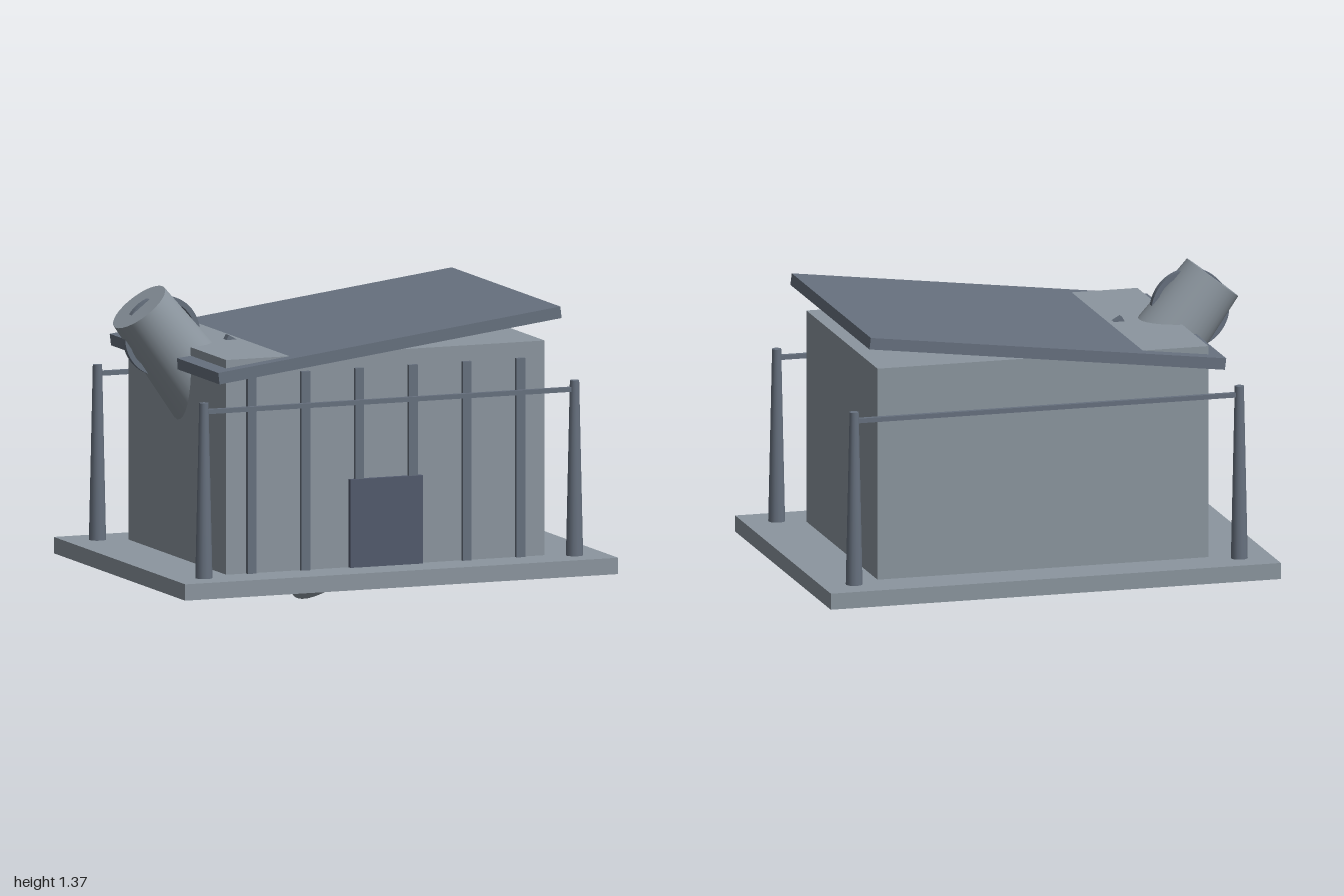
import * as THREE from 'three';

const pale = new THREE.MeshStandardMaterial({ color: 0x8c969f });
const slate = new THREE.MeshStandardMaterial({ color: 0x67717f });
const dark = new THREE.MeshStandardMaterial({ color: 0x525a6d });

// Flat upright ring with a square-cut rim
function ringGeometry(outer, inner, depth) {
  const shape = new THREE.Shape().absarc(0, 0, outer, 0, Math.PI * 2);
  shape.holes.push(new THREE.Path().absarc(0, 0, inner, 0, Math.PI * 2, true));
  return new THREE.ExtrudeGeometry(shape, { depth, bevelEnabled: false, curveSegments: 32 })
    .translate(0, 0, -depth / 2);
}

export function createModel() {
  const model = new THREE.Group();

  const add = (name, geometry, material, x, y, z, tilt = 0) => {
    const mesh = new THREE.Mesh(geometry, material);
    mesh.name = name;
    mesh.position.set(x, y, z);
    mesh.rotation.z = tilt;
    model.add(mesh);
  };
  // Box given by its x, y and z limits
  const block = (name, material, x0, x1, y0, y1, z0, z1) =>
    add(name, new THREE.BoxGeometry(x1 - x0, y1 - y0, z1 - z0), material,
      (x0 + x1) / 2, (y0 + y1) / 2, (z0 + z1) / 2);

  // Platform and hut
  block('platform', pale, -0.985, 1.0, 0.14, 0.21, -0.73, 0.73);
  block('hutBody', pale, -0.72, 0.74, 0.2, 1.13, -0.543, 0.543);

  // Sloping roof; the low end lets the top of the hut show through
  add('roof', new THREE.BoxGeometry(1.58, 0.05, 1.206), slate, 0.006, 1.159, 0, 0.1236);

  // Battens and door on the front wall, reaching down through the platform
  for (let i = 0; i < 6; i++) {
    const x = -0.608 + i * 0.2465;
    block('batten', slate, x - 0.02, x + 0.02, 0.139, 1.063, 0.54, 0.56);
  }
  block('door', dark, -0.16, 0.173, 0.139, 0.588, 0.542, 0.566);

  // Tapered corner posts with a rail along the front and back
  for (const z of [-0.591, 0.591]) {
    for (const x of [-0.842, 0.857]) {
      add('post', new THREE.CylinderGeometry(0.02, 0.037, 0.76, 12), slate, x, 0.58, z);
    }
    block('rail', slate, -0.842, 0.857, 0.912, 0.932, z - 0.01, z + 0.01);
  }

  // Flared barrel running diagonally through the hut
  const top = new THREE.Vector3(-0.895, 1.292, 0);
  const bottom = new THREE.Vector3(0.007, 0.142, 0);
  const axis = top.clone().sub(bottom);
  const tilt = Math.atan2(-axis.x, axis.y);
  const middle = top.clone().add(bottom).multiplyScalar(0.5);
  add('barrel', new THREE.CylinderGeometry(0.135, 0.226, axis.length(), 32), pale,
    middle.x, middle.y, 0, tilt);

  // Upright hoops standing proud of the barrel near each end
  add('upperHoop', ringGeometry(0.172, 0.15, 0.03), slate, -0.793, 1.164, 0);
  add('lowerHoop', ringGeometry(0.24, 0.218, 0.03), slate, -0.1, 0.279, 0);

  // Small stub at the edge of the roof
  add('roofStub', new THREE.BoxGeometry(0.058, 0.06, 0.036), slate, -0.48, 1.11, 0, -0.52);

  return model;
}
